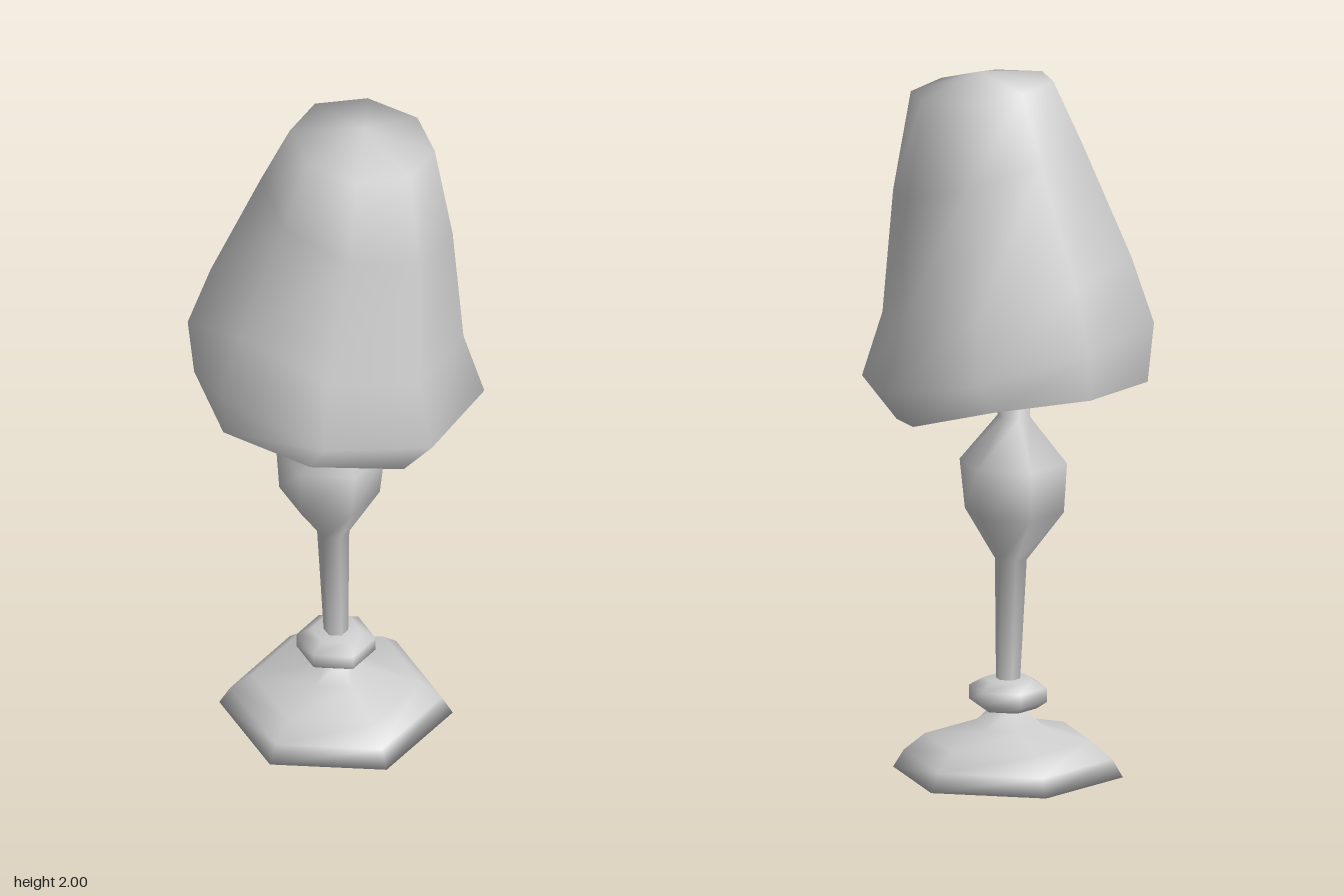
import * as THREE from 'three';

// Skins a stack of rings (listed bottom to top) with shared, smooth vertices.
// Ring: x, y centre; r radius along x; rz radius along z; tilt = rise towards +x;
// bend = extra height at the front and back. bottom/top: [x, y] closing points.
function loft(rings, sides, bottom, top) {
  const pos = [], index = [];
  for (const { x = 0, y, r, rz = r, tilt = 0, bend = 0 } of rings) {
    for (let i = 0; i < sides; i++) {
      const a = (i / sides) * Math.PI * 2, c = Math.cos(a), s = Math.sin(a);
      pos.push(x + r * c, y + tilt * c + bend * s * s, rz * s);
    }
  }
  for (let k = 0; k < rings.length - 1; k++) {
    for (let i = 0; i < sides; i++) {
      const a = k * sides + i, b = k * sides + (i + 1) % sides;
      index.push(a, a + sides, b, b, a + sides, b + sides);
    }
  }
  const close = (point, start, up) => {
    const c = pos.length / 3;
    pos.push(point[0], point[1], 0);
    for (let i = 0; i < sides; i++) {
      const a = start + i, b = start + (i + 1) % sides;
      if (up) index.push(a, c, b);
      else index.push(a, b, c);
    }
  };
  if (bottom) close(bottom, 0, false);
  if (top) close(top, (rings.length - 1) * sides, true);
  const geometry = new THREE.BufferGeometry();
  geometry.setAttribute('position', new THREE.Float32BufferAttribute(pos, 3));
  geometry.setIndex(index);
  geometry.computeVertexNormals();
  return geometry;
}

export function createModel() {
  const lamp = new THREE.Group();
  lamp.name = 'tableLamp';
  const grey = new THREE.MeshStandardMaterial({ color: 0xcccccc, side: THREE.DoubleSide });
  grey.name = 'lightGrey';
  const add = (name, geometry) => {
    const mesh = new THREE.Mesh(geometry, grey);
    mesh.name = name;
    lamp.add(mesh);
  };

  // six-sided foot
  add('foot', loft([
    { y: 0, r: 0.325 }, { y: 0.05, r: 0.295 }, { y: 0.1, r: 0.235 },
    { y: 0.135, r: 0.1 }, { y: 0.19, r: 0.045 },
  ], 6, [0, 0], [0, 0.19]));

  // collar above the foot
  add('collar', loft([
    { y: 0.185, r: 0.08 }, { y: 0.205, r: 0.11 }, { y: 0.245, r: 0.11 }, { y: 0.268, r: 0.07 },
  ], 6, [0, 0.185], [0, 0.27]));

  // slightly leaning stem with a swollen middle, ending inside the shade
  add('stem', loft([
    { y: 0.26, r: 0.034 }, { x: -0.008, y: 0.61, r: 0.045 },
    { x: -0.018, y: 0.75, r: 0.14 }, { x: -0.015, y: 0.89, r: 0.152 },
    { x: -0.016, y: 1.02, r: 0.046 }, { x: -0.02, y: 1.3, r: 0.055 },
  ], 6, null, [-0.02, 1.3]));

  // crooked eight-sided shade, open below, with a shallow domed top
  add('shade', loft([
    { x: -0.04, y: 1.065, r: 0.355, rz: 0.415, tilt: -0.07, bend: 0.065 },
    { x: 0, y: 1.21, r: 0.413, rz: 0.445, tilt: -0.095 },
    { x: 0.003, y: 1.395, r: 0.352, rz: 0.385, tilt: -0.095 },
    { x: 0.058, y: 1.73, r: 0.267, rz: 0.275, tilt: -0.08 },
    { x: 0.073, y: 1.957, r: 0.202, rz: 0.2, tilt: -0.023 },
  ], 8, null, [0.08, 2]));

  return lamp;
}
